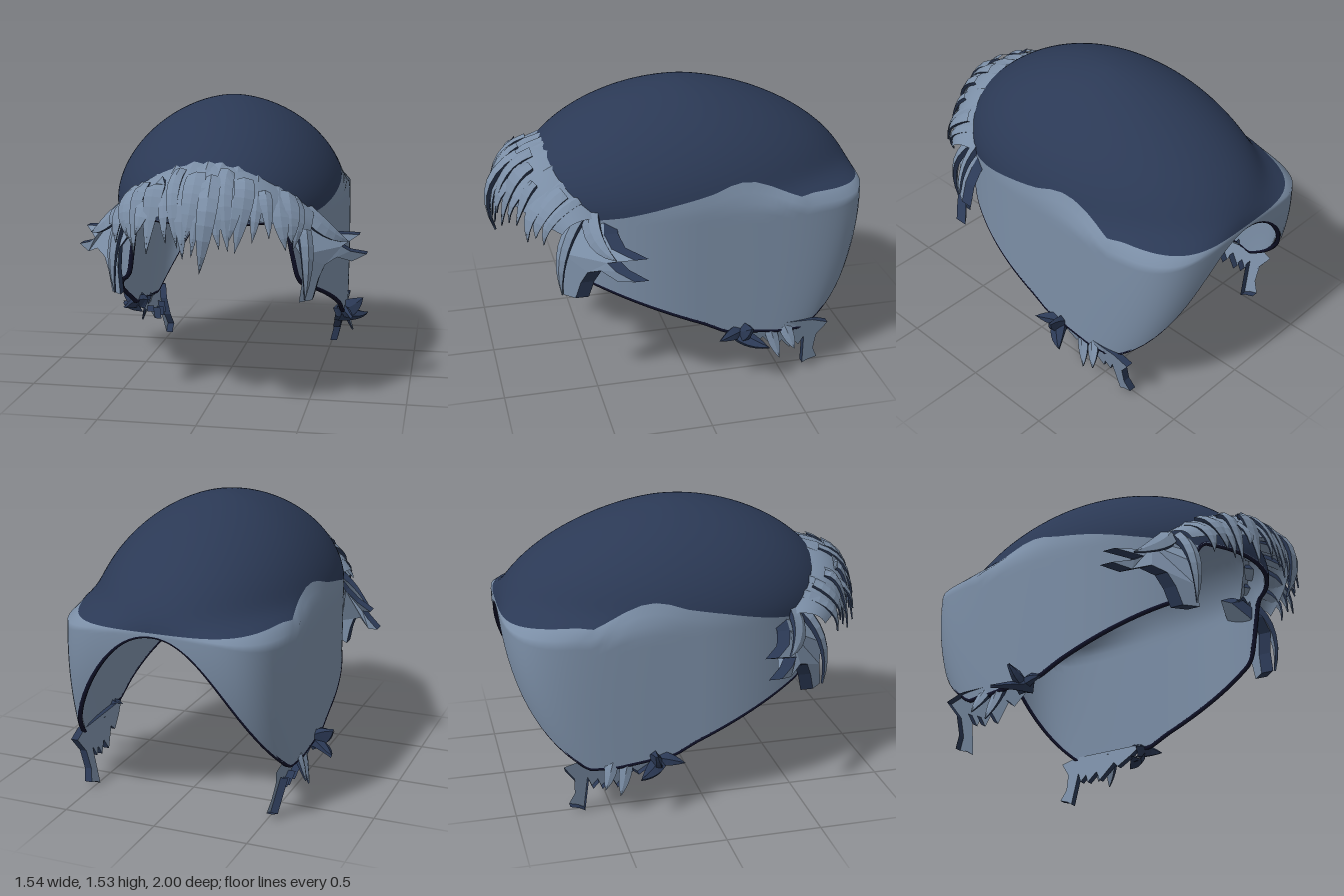
import * as THREE from 'three';

const navy = new THREE.MeshStandardMaterial({ color: 0x2b3955 });
navy.name = 'navy';
const slate = new THREE.MeshStandardMaterial({ color: 0x7b8ea6 });
slate.name = 'slate';
const ink = new THREE.MeshStandardMaterial({ color: 0x10122a });
ink.name = 'ink';

const V = (x, y, z) => new THREE.Vector3(x, y, z);
const TOP = 1.53, EQUATOR = 1.0;

// Point on the head shell at a compass angle (0 = front) and height
function shellPoint(phi, y, k = 1) {
  const t = Math.min(1, Math.max(0, (y - EQUATOR) / (TOP - EQUATOR)));
  const below = Math.max(0, EQUATOR - y);
  const sx = Math.sin(phi), cz = Math.cos(phi), back = cz < 0;
  const nPlan = back ? 2.1 + 2.4 * (1 - t) ** 16 + 2 * below : 2.1;
  const nRise = back ? 1.8 - 0.2 * cz * cz : 1.8;
  const r = (Math.abs(sx / 0.61) ** nPlan + Math.abs(cz / (back ? 0.95 : 0.87)) ** nPlan) ** (-1 / nPlan);
  const s = Math.max(0, 1 - t ** nRise) ** (1 / nRise) * r * k;
  const tuck = back ? 1 - 0.21 * (below / 0.73) ** 2 : 1;
  return V(sx * s, y, cz * s * tuck - 0.05);
}

// Lower edge: sloping sides, a high hairline in front, an arch at the nape
function edgeHeight(phi) {
  const { x, z } = shellPoint(phi, EQUATOR);
  const side = z > -0.2 ? 0.31 + 0.43 * (z + 0.2) : 0.31 - 0.04 * Math.min(1, (-z - 0.2) / 0.4);
  if (z > 0.3) return side + (0.97 - side) * (1 - THREE.MathUtils.smoothstep(Math.abs(x), 0.37, 0.46));
  return Math.max(side, z < -0.2 ? 1 - 0.73 * (Math.abs(x) / 0.57) ** 2.1 : 0);
}

// Wavy line where the side panels meet the crown
const WAVE = [[-1.1, 1.01], [-0.7, 1.035], [-0.6, 1.03], [-0.45, 1.1], [-0.36, 1.13], [-0.28, 1.14], [-0.2, 1.13], [-0.1, 1.1], [0.1, 1.06], [0.35, 1], [0.9, 0.9]];
function waveHeight(phi) {
  const z = shellPoint(phi, EQUATOR).z;
  let i = 0;
  while (i < WAVE.length - 2 && z > WAVE[i + 1][0]) i++;
  const [z0, y0] = WAVE[i], [z1, y1] = WAVE[i + 1];
  return Math.max(edgeHeight(phi) + 0.002, y0 + (y1 - y0) * (z - z0) / (z1 - z0));
}

// Grid surface from a function of u, v
function surface(fn, nu, nv, flip) {
  const pos = [], idx = [];
  for (let j = 0; j <= nv; j++)
    for (let i = 0; i <= nu; i++) pos.push(...fn(i / nu, j / nv).toArray());
  for (let j = 0; j < nv; j++)
    for (let i = 0; i < nu; i++) {
      const a = j * (nu + 1) + i, b = a + 1, c = b + nu + 1, d = c - 1;
      idx.push(...(flip ? [a, c, b, a, d, c] : [a, b, c, a, c, d]));
    }
  const g = new THREE.BufferGeometry();
  g.setAttribute('position', new THREE.Float32BufferAttribute(pos, 3));
  g.setIndex(idx);
  g.computeVertexNormals();
  return g;
}

// Tapered lock of hair: ridged outside, flat inside, contrasting thin sides
function lockGeometry(p0, p1, p2, width, thick, out) {
  const curve = new THREE.QuadraticBezierCurve3(p0, p1, p2), N = 7, rings = [];
  for (let i = 0; i <= N; i++) {
    const s = i / N, p = curve.getPoint(s), t = curve.getTangent(s);
    const side = t.clone().cross(out).normalize(), o = side.clone().cross(t);
    const w = width / 2 * (0.75 + 0.5 * s) * (1 - s ** 2.2), h = thick * (1 - 0.8 * s);
    rings.push([[w, 0], [0, h * 0.5], [-w, 0], [-w * 0.8, -h], [w * 0.8, -h]].map(([a, b]) =>
      p.clone().addScaledVector(side, a).addScaledVector(o, b)));
  }
  const pos = [], g = new THREE.BufferGeometry();
  [[0, 1, 3], [2, 4]].forEach((faces, m) => {
    const start = pos.length / 3;
    for (const j of faces)
      for (let i = 0; i < N; i++) {
        const k = (j + 1) % 5;
        const a = rings[i][j], b = rings[i][k], c = rings[i + 1][k], d = rings[i + 1][j];
        for (const q of [a, d, c, a, c, b]) pos.push(q.x, q.y, q.z);
      }
    g.addGroup(start, pos.length / 3 - start, m);
  });
  g.setAttribute('position', new THREE.Float32BufferAttribute(pos, 3));
  g.computeVertexNormals();
  return g;
}

// Jagged plate cut from an outline, each vertex then placed by a rule
function plateGeometry(outline, depth, place) {
  const g = new THREE.ExtrudeGeometry(new THREE.Shape(outline.map(([a, b]) => new THREE.Vector2(a, b))),
    { depth, bevelEnabled: false });
  const p = g.attributes.position;
  for (let i = 0; i < p.count; i++) p.setXYZ(i, ...place(p.getX(i), p.getY(i), p.getZ(i)));
  g.computeVertexNormals();
  return g;
}

// Fringe sheet: u across, v from the hairline to the tips
function fringePoint(u, v) {
  const q = u * u;
  const root = V(0.5 * u, 1.25 - 0.26 * Math.abs(u) ** 2.2, 0.67 - 0.2 * q);
  const mid = V(0.54 * u, 1.22 - 0.2 * q, 0.95 - 0.28 * q);
  const tip = V(0.5 * u, 0.87 - 0.02 * q, 0.98 - 0.3 * q);
  return new THREE.QuadraticBezierCurve3(root, mid, tip).getPoint(v);
}

const TEMPLE = [[0.43, 1.05], [0.5, 0.98], [0.55, 0.92], [0.62, 0.87], [0.73, 0.85], [0.65, 0.81], [0.69, 0.78],
  [0.77, 0.75], [0.7, 0.725], [0.63, 0.76], [0.575, 0.73], [0.545, 0.66], [0.52, 0.56], [0.46, 0.56], [0.475, 0.68], [0.465, 0.8], [0.41, 0.88], [0.4, 1.0]];
const NAPE = [[-0.22, 0.32], [-0.28, 0.26], [-0.36, 0.2], [-0.39, 0.23], [-0.47, 0.13], [-0.5, 0.19], [-0.55, 0.13], [-0.57, 0.18],
  [-0.6, 0.14], [-0.625, 0.2], [-0.64, 0.0], [-0.67, 0.02], [-0.72, 0.035], [-0.69, 0.1], [-0.695, 0.2], [-0.75, 0.28], [-0.66, 0.31]];

export function createModel() {
  const model = new THREE.Group();
  const add = (name, geo, mat, parent = model) => {
    const m = new THREE.Mesh(geo, mat);
    m.name = name;
    parent.add(m);
  };
  const angle = u => (u * 2 - 1) * Math.PI;

  // Shell
  add('crown', surface((u, v) => {
    const phi = angle(u), y = waveHeight(phi);
    return shellPoint(phi, v === 1 ? TOP : y + (TOP - y) * Math.sin(v * Math.PI / 2));
  }, 160, 32), navy);
  add('sidePanels', surface((u, v) => {
    const phi = angle(u), y = edgeHeight(phi);
    return shellPoint(phi, y + (waveHeight(phi) - y) * v);
  }, 160, 16), slate);
  add('lining', surface((u, v) => {
    const phi = angle(u), y = edgeHeight(phi);
    const p = shellPoint(phi, v === 1 ? TOP : y + (TOP - y) * Math.sin(v * Math.PI / 2), 0.97);
    p.y -= 0.02 * v;
    return p;
  }, 160, 32, true), slate);

  // Dark rim along the lower edge
  const rim = [];
  for (let i = 0; i < 120; i++) {
    const phi = angle(i / 120);
    rim.push(shellPoint(phi, edgeHeight(phi), 0.985));
  }
  add('rim', new THREE.TubeGeometry(new THREE.CatmullRomCurve3(rim, true), 240, 0.013, 6, true), ink);

  // Fringe base and its overlapping locks
  const fringe = new THREE.Group();
  fringe.name = 'fringe';
  model.add(fringe);
  const sheet = (u, v) => fringePoint(u * 2 - 1, v * 0.74);
  add('fringeSheet', surface(sheet, 40, 10, true), slate, fringe);
  add('fringeUnderside', surface((u, v) => sheet(u, v).add(V(0, -0.004, -0.012)), 40, 10), slate, fringe);
  const drops = [0.01, 0.06, -0.02, 0.04, 0, 0.05, 0.02, -0.03, 0.07];
  const count = 11;
  for (let layer = 0; layer < 2; layer++)
    for (let i = 0; i < count - layer; i++) {
      const u = -0.86 + 1.72 * (i + layer / 2) / (count - 1) + 0.03 * Math.sin(i * 5.1);
      const out = V(u * 0.8, 0.3, 1).normalize();
      const lift = layer ? 0.016 : 0.004;
      const p0 = fringePoint(u * 0.94, layer ? 0.16 + 0.1 * (i % 3) : 0.02).addScaledVector(out, lift - 0.006);
      const half = fringePoint(u, 0.58).addScaledVector(out, lift);
      const p2 = fringePoint(u, 1);
      p2.x += 0.035 * Math.sin(i * 2.3 + layer) + 0.03 * u;
      p2.y += drops[(i * 4 + layer * 3) % drops.length] - 0.015;
      const p1 = half.multiplyScalar(2).addScaledVector(p0, -0.5).addScaledVector(p2, -0.5);
      add('fringeLock', lockGeometry(p0, p1, p2, 0.105 + 0.025 * Math.sin(i * 3.7), 0.025, out), [slate, navy], fringe);
    }
  add('centreLock', lockGeometry(V(0.05, 1.2, 0.82), V(0.07, 1.08, 1.08), V(0.01, 0.75, 0.95), 0.12, 0.04, V(0, 0.3, 1)), [slate, navy], fringe);

  // Mirrored locks: name, root, control, tip, width, thickness, outward, dark
  const locks = [
    ['sideburnLock', [0.45, 1.0, 0.56], [0.53, 0.84, 0.72], [0.49, 0.57, 0.67], 0.09, 0.04, [0.6, 0, 0.8]],
    ['templeLock', [0.43, 1.04, 0.5], [0.57, 0.9, 0.56], [0.68, 0.83, 0.42], 0.12, 0.04, [0.7, 0.5, 0.7]],
    ['earTuftBack', [0.58, 0.29, -0.24], [0.66, 0.27, -0.28], [0.73, 0.25, -0.38], 0.1, 0.05, [0.3, 1, 0.3], true],
    ['earTuftTop', [0.58, 0.28, -0.26], [0.64, 0.3, -0.26], [0.71, 0.36, -0.29], 0.12, 0.05, [0.3, 0.5, 1], true],
    ['earTuftFront', [0.58, 0.29, -0.28], [0.63, 0.31, -0.24], [0.66, 0.28, -0.13], 0.09, 0.05, [1, 0.4, 0], true],
    ['napeTooth', [0.59, 0.3, -0.42], [0.61, 0.22, -0.44], [0.64, 0.12, -0.47], 0.08, 0.03, [1, 0, -0.1]],
    ['napeTooth', [0.59, 0.3, -0.5], [0.62, 0.25, -0.52], [0.65, 0.17, -0.55], 0.08, 0.03, [1, 0, -0.1]],
  ];
  for (const s of [1, -1]) {
    const group = new THREE.Group();
    group.name = s > 0 ? 'leftLocks' : 'rightLocks';
    model.add(group);
    const at = ([x, y, z]) => V(s * x, y, z);
    // Temple wing running into the sideburn, swept back with width and height
    add('templeWing', plateGeometry(TEMPLE.map(([x, y]) => [s * x, y]), 0.07, (x, y, z) =>
      [x, y, z + 0.6 - 1.05 * (Math.abs(x) - 0.46) - Math.max(0, y - 0.8)]), [slate, navy], group);
    // Ragged nape hair with a forked tail, leaning in toward its tips
    add('napeHair', plateGeometry(NAPE.map(([z, y]) => [-s * z, y]), 0.04, (a, y, d) =>
      [s * (0.51 + 0.24 * y) + d - 0.02, y, -s * a]), [slate, navy], group);
    for (const [name, a, b, c, w, h, out, dark] of locks)
      add(name, lockGeometry(at(a), at(b), at(c), w, h, at(out).normalize()), dark ? [navy, navy] : [slate, navy], group);
  }
  return model;
}
